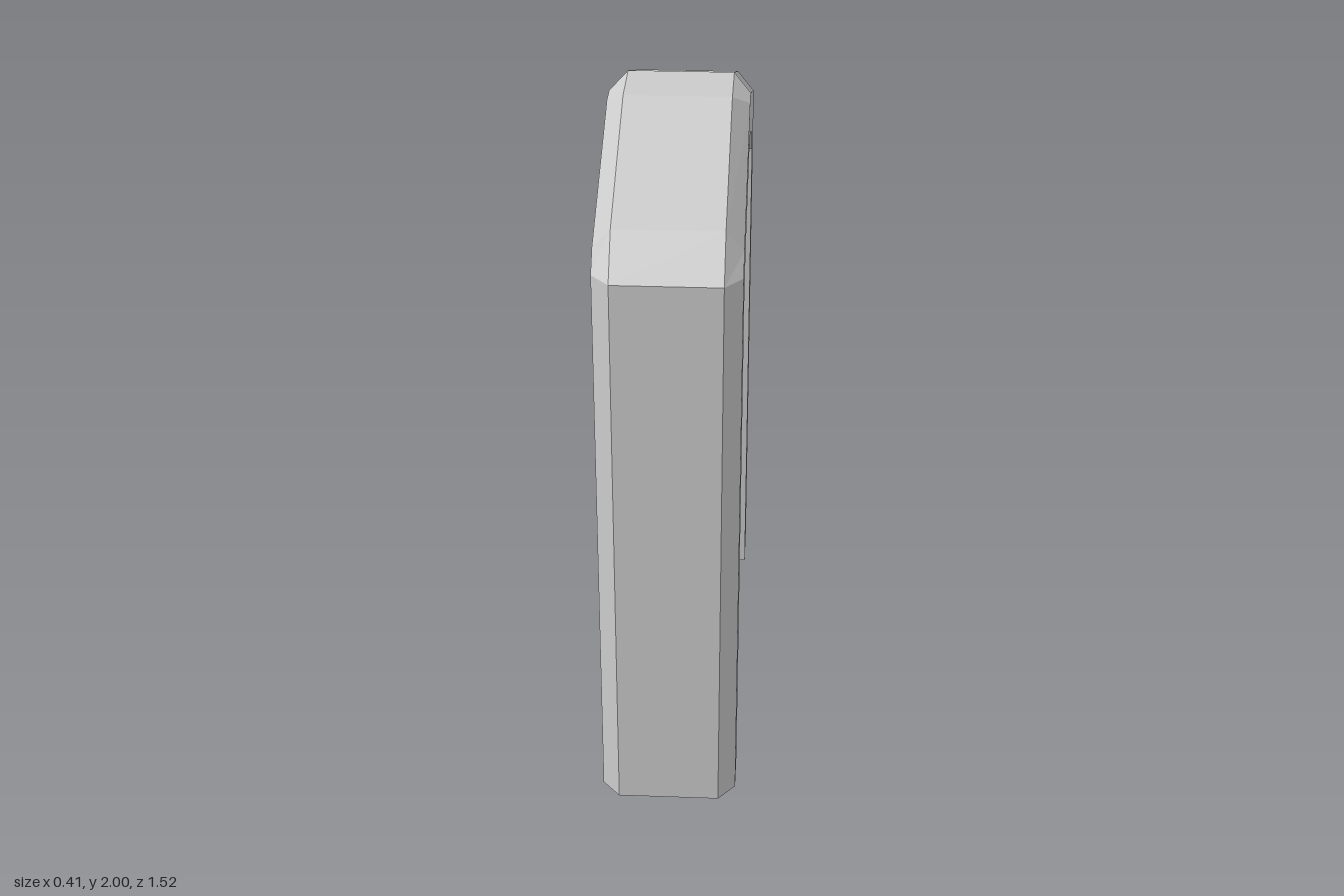
import * as THREE from 'three';

const material = new THREE.MeshStandardMaterial({ color: 0xcccccc, flatShading: true });

function addMesh(parent, name, geometry) {
  const mesh = new THREE.Mesh(geometry, material);
  mesh.name = name;
  parent.add(mesh);
  return mesh;
}

// Arched frame: a six-sided section carried up one jamb, over the top and down the other
function frameGeometry() {
  // Each station: [z, y] of the outer face, the bevel edge and the opening edge
  const half = [
    [[0.76, 0.01], [0.70, 0.01], [0.54, 0.005]],
    [[0.71, 1.70], [0.65, 1.70], [0.515, 1.59]],
    [[0.605, 1.815], [0.595, 1.755], [0.43, 1.68]],
    [[0.10, 2.0], [0.04, 1.96], [0.08, 1.825]],
  ];
  const mirrored = half.map(s => s.map(([z, y]) => [-z, y])).reverse();
  const rings = [...half, ...mirrored].map(([outer, bevel, inner]) => {
    const point = (x, [z, y]) => {
      const taper = x < 0 ? 0.012 * (1 - y / 2) : 0; // one face leans in slightly at the foot
      return [x + taper, y, z];
    };
    return [
      point(-0.155, outer), point(0.155, outer), point(0.205, bevel),
      point(0.205, inner), point(-0.207, inner), point(-0.207, bevel),
    ];
  });
  const pos = [];
  const tri = (a, b, c) => pos.push(...a, ...b, ...c);
  for (let i = 0; i < rings.length - 1; i++) {
    for (let j = 0; j < 6; j++) {
      const k = (j + 1) % 6;
      tri(rings[i][j], rings[i][k], rings[i + 1][k]);
      tri(rings[i][j], rings[i + 1][k], rings[i + 1][j]);
    }
  }
  // Undersides of the two jambs
  const first = rings[0], last = rings[rings.length - 1];
  for (let j = 1; j < 5; j++) {
    tri(first[0], first[j + 1], first[j]);
    tri(last[0], last[j], last[j + 1]);
  }
  const geometry = new THREE.BufferGeometry();
  geometry.setAttribute('position', new THREE.Float32BufferAttribute(pos, 3));
  geometry.computeVertexNormals();
  return geometry;
}

// One door leaf, drawn from the centre seam outwards
function leafGeometry(side) {
  const shape = new THREE.Shape([
    [0.005, 0.02], [0.54, 0.02], [0.505, 1.59], [0.42, 1.675], [0.07, 1.805], [0.005, 1.805],
  ].map(([u, v]) => new THREE.Vector2(u, v)));
  const depth = 0.1;
  const geometry = new THREE.ExtrudeGeometry(shape, { depth, bevelEnabled: false });
  geometry.translate(0, 0, -depth / 2);
  geometry.rotateY(-side * Math.PI / 2);
  return geometry;
}

export function createModel() {
  const model = new THREE.Group();
  model.name = 'archedDoubleDoor';
  addMesh(model, 'frame', frameGeometry());

  const knob = new THREE.SphereGeometry(0.049, 10, 8);
  for (const side of [1, -1]) {
    const door = new THREE.Group();
    door.name = side > 0 ? 'frontDoor' : 'backDoor';
    addMesh(door, 'doorLeaf', leafGeometry(side));
    // A knob on each face of the leaf
    for (const x of [0.095, -0.095]) {
      addMesh(door, 'knob', knob).position.set(x, 0.9, side * 0.075);
    }
    model.add(door);
  }
  return model;
}
